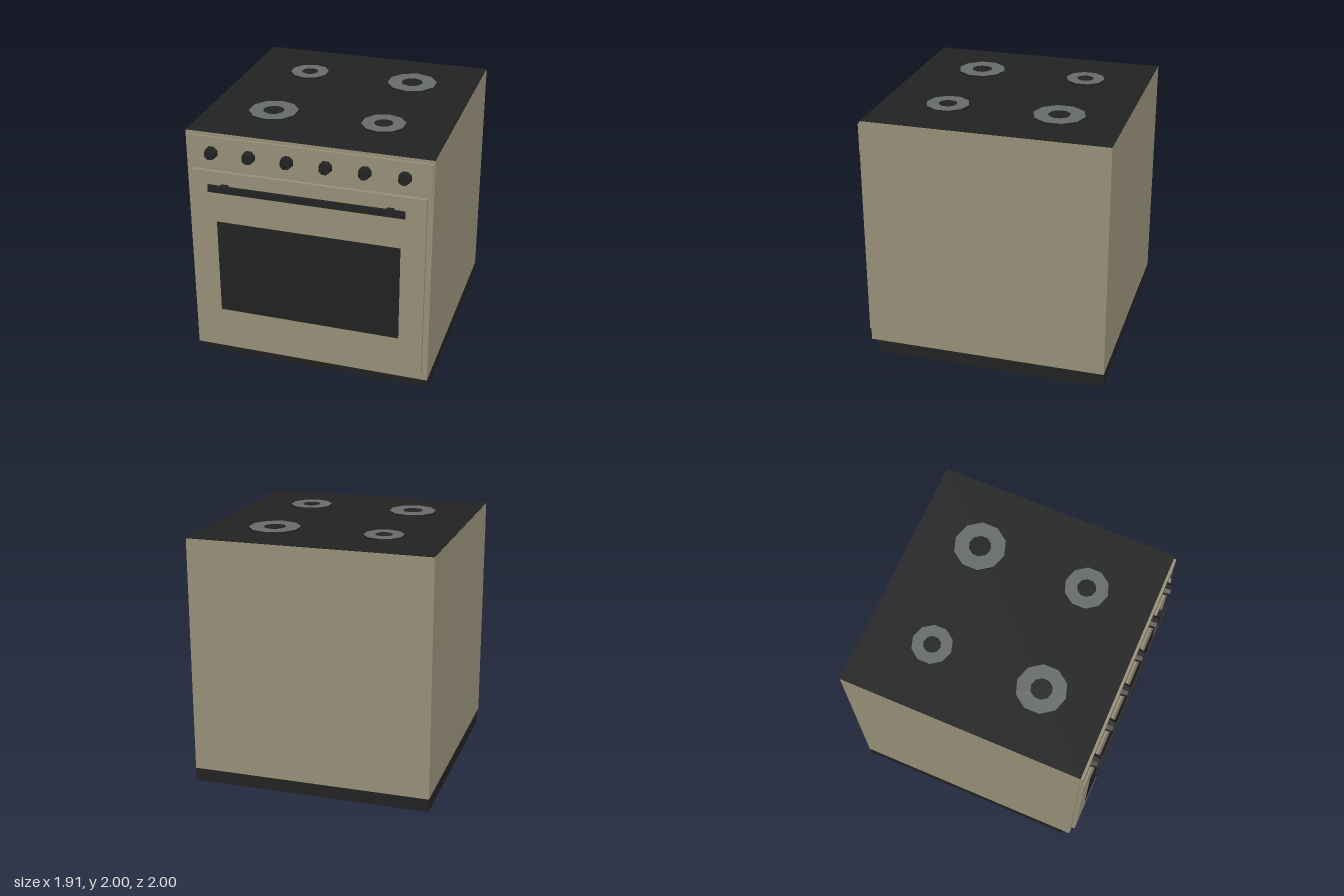
import * as THREE from 'three';

const material = (name, color) => {
  const m = new THREE.MeshStandardMaterial({ color });
  m.name = name;
  return m;
};

export function createModel() {
  const enamel = material('beige enamel', 0x989079);
  const black = material('black', 0x222222);
  const grey = material('burner grey', 0x666a6a);
  const stove = new THREE.Group();
  stove.name = 'stove';

  const add = (name, geometry, mat, x = 0, y = 0, z = 0) => {
    const mesh = new THREE.Mesh(geometry, mat);
    mesh.name = name;
    mesh.position.set(x, y, z);
    stove.add(mesh);
    return mesh;
  };

  // Box given by its lower and upper limits on each axis
  const box = (name, mat, [x0, x1], [y0, y1], [z0, z1]) =>
    add(name, new THREE.BoxGeometry(x1 - x0, y1 - y0, z1 - z0), mat,
      (x0 + x1) / 2, (y0 + y1) / 2, (z0 + z1) / 2);

  // Cabinet with a black cooktop face
  box('body', enamel, [-0.955, 0.955], [0.105, 1.985], [-1, 0.915]);
  add('cooktop', new THREE.PlaneGeometry(1.91, 1.915).rotateX(-Math.PI / 2), black, 0, 1.987, -0.0425);

  // Hollow plinth, set back at the front and open underneath
  const t = 0.004;
  box('plinthFront', black, [-0.955, 0.955], [0, 0.105], [0.855 - t, 0.855]);
  box('plinthBack', black, [-0.955, 0.955], [0, 0.105], [-1, -1 + t]);
  for (const s of [-1, 1]) {
    const edge = s * (0.955 - t / 2);
    box('plinthSide', black, [edge - t / 2, edge + t / 2], [0, 0.105], [-1 + t, 0.855 - t]);
  }

  // Control panel, door and window
  box('controlPanel', enamel, [-0.945, 0.945], [1.71, 1.96], [0.915, 0.933]);
  box('door', enamel, [-0.912, 0.912], [0.175, 1.683], [0.915, 0.945]);
  box('window', black, [-0.725, 0.725], [0.475, 1.26], [0.945, 0.951]);

  // Door handle on two posts
  box('handleBar', black, [-0.765, 0.765], [1.535, 1.59], [0.98, 1]);
  for (const s of [-1, 1]) {
    box('handlePost', black, [s * 0.645 - 0.028, s * 0.645 + 0.028], [1.54, 1.585], [0.945, 0.98]);
  }

  // Six tapered octagonal knobs
  const knob = new THREE.CylinderGeometry(0.043, 0.052, 0.052, 8, 1, false, Math.PI / 8)
    .rotateX(Math.PI / 2).toNonIndexed();
  knob.computeVertexNormals();
  for (let i = 0; i < 6; i++) {
    add('knob', knob, black, -0.745 + i * 0.298, 1.835, 0.959);
  }

  // Ten-sided burners: x, z, radius
  const burners = [[-0.442, -0.487, 0.157], [0.436, -0.487, 0.203], [-0.442, 0.396, 0.193], [0.436, 0.396, 0.171]];
  for (const [x, z, r] of burners) {
    const disc = new THREE.CylinderGeometry(r, r, 0.013, 10).toNonIndexed();
    disc.computeVertexNormals();
    add('burnerDisc', disc, black, x, 1.9915, z);
    const ring = new THREE.RingGeometry(r * 0.43, r, 10, 1, Math.PI / 2).rotateX(-Math.PI / 2);
    add('burnerRing', ring, grey, x, 2, z);
  }
  return stove;
}
